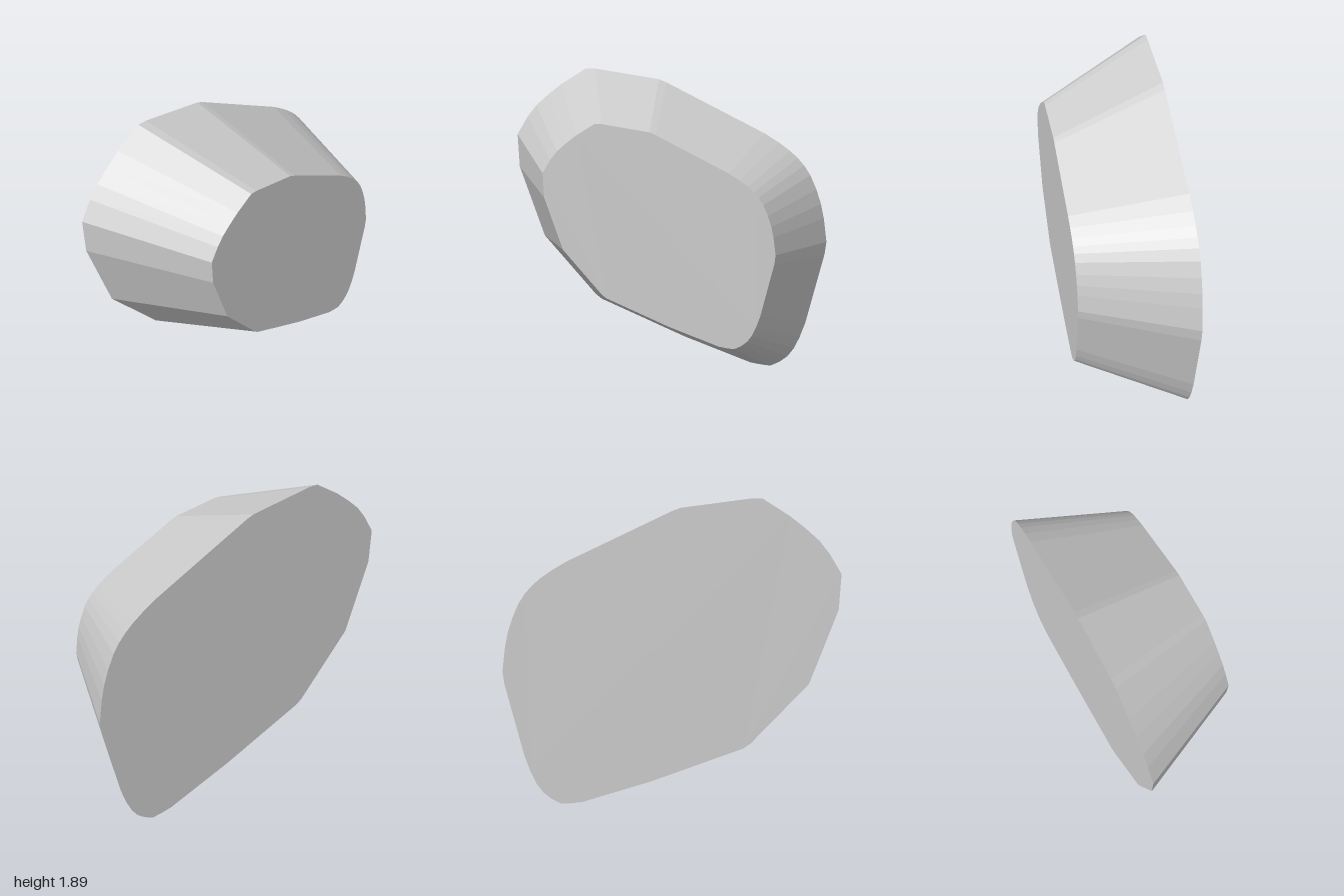
import * as THREE from 'three';

// Outline of the wide back face, clockwise from the top
const OUTLINE = [
  [-0.54, 1.89], [-0.48, 1.89], [-0.07, 1.83], [-0.02, 1.81], [0.6, 1.505],
  [0.69, 1.45], [0.76, 1.4], [0.81, 1.355], [0.85, 1.31], [0.89, 1.25],
  [0.93, 1.16], [0.96, 1.07], [0.98, 0.98], [1, 0.83], [0.99, 0.75],
  [0.88, 0.3], [0.845, 0.2], [0.81, 0.125], [0.77, 0.07], [0.72, 0.03],
  [0.66, 0], [0.6, 0.005], [0.53, 0.015], [0.1, 0.165], [-0.45, 0.39],
  [-0.49, 0.42], [-0.83, 0.8], [-0.99, 1.25], [-1, 1.46], [-0.93, 1.575],
  [-0.87, 1.65], [-0.79, 1.72], [-0.7, 1.79],
];
const DEPTH = 0.667;

export function createModel() {
  const stone = new THREE.MeshStandardMaterial({ color: 0xcccccc });
  stone.name = 'stone grey';

  const shape = new THREE.Shape(OUTLINE.map(([x, y]) => new THREE.Vector2(x, y)));
  const geometry = new THREE.ExtrudeGeometry(shape, { depth: DEPTH, bevelEnabled: false });
  geometry.translate(0, 0, -DEPTH / 2);

  // Taper: shrink the front face and shift it slightly off centre
  const p = geometry.attributes.position;
  for (let i = 0; i < p.count; i++) {
    if (p.getZ(i) > 0) {
      p.setX(i, p.getX(i) * 0.6975 + 0.0525);
      p.setY(i, p.getY(i) * 0.7 + 0.3);
    }
  }
  geometry.computeVertexNormals();

  const rock = new THREE.Mesh(geometry, stone);
  rock.name = 'taperedRock';
  const model = new THREE.Group();
  model.name = 'rock';
  model.add(rock);
  return model;
}
